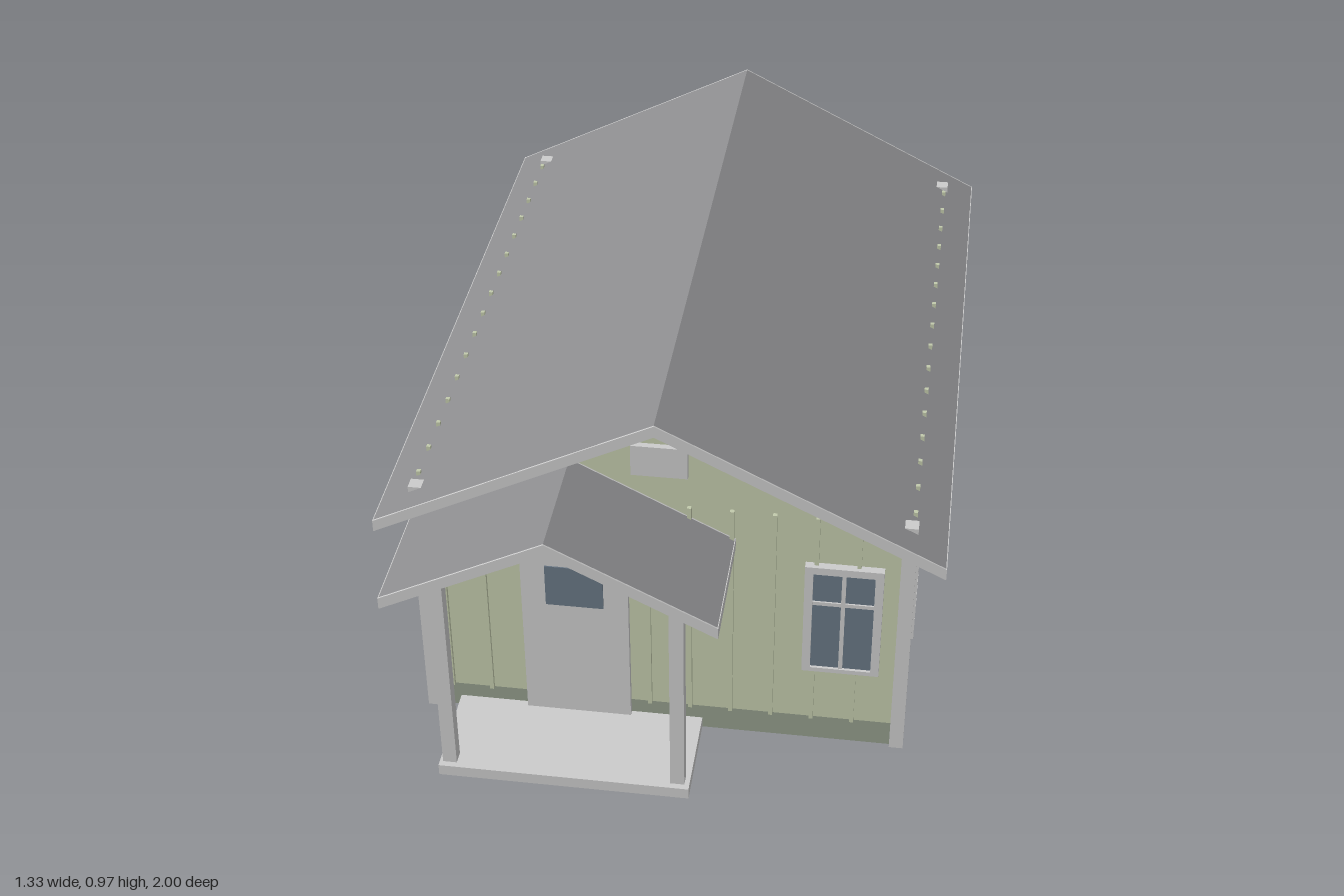
import * as THREE from 'three';

const mat = (color) => new THREE.MeshStandardMaterial({ color, flatShading: true });
const TRIM = mat(0xcccccc), WALL = mat(0xc2caac), BASE = mat(0x929c8b), GLASS = mat(0x687684), ROOF = mat(0x8c8c8e);

// Wall planes (outer faces)
const X = 0.58, ZF = 0.68, ZB = -0.91, T = 0.01;

export function createModel() {
  const house = new THREE.Group();
  house.name = 'house';

  const add = (parent, name, geometry, material) => {
    const mesh = new THREE.Mesh(geometry, material);
    mesh.name = name;
    parent.add(mesh);
    return mesh;
  };
  // Box given by its extents
  const box = (parent, name, m, x0, x1, y0, y1, z0, z1) => {
    const g = new THREE.BoxGeometry(x1 - x0, y1 - y0, z1 - z0);
    g.translate((x0 + x1) / 2, (y0 + y1) / 2, (z0 + z1) / 2);
    return add(parent, name, g, m);
  };
  // Outline in x, y extruded from z0 to z1
  const slab = (parent, name, m, points, z0, z1, hole) => {
    const shape = new THREE.Shape(points.map(([x, y]) => new THREE.Vector2(x, y)));
    if (hole) shape.holes.push(new THREE.Path(hole.map(([x, y]) => new THREE.Vector2(x, y))));
    const g = new THREE.ExtrudeGeometry(shape, { depth: z1 - z0, bevelEnabled: false });
    g.translate(0, 0, z0);
    return add(parent, name, g, m);
  };
  const rect = (w, y0, y1) => [[-w, y0], [w, y0], [w, y1], [-w, y1]];

  // Gable walls, side walls and the darker base band; open below
  const gable = [[-X, 0.07], [X, 0.07], [X, 0.655], [0, 0.945], [-X, 0.655]];
  slab(house, 'frontWall', WALL, gable, ZF - T, ZF);
  slab(house, 'backWall', WALL, gable, ZB, ZB + T);
  box(house, 'frontBase', BASE, -X, X, 0, 0.07, ZF - T, ZF);
  box(house, 'backBase', BASE, -X, X, 0, 0.07, ZB, ZB + T);
  for (const s of [-1, 1]) {
    const x0 = s > 0 ? X - T : -X, x1 = x0 + T;
    box(house, 'sideWall', WALL, x0, x1, 0.07, 0.655, ZB + T, ZF - T);
    box(house, 'sideBase', BASE, x0, x1, 0, 0.07, ZB + T, ZF - T);
    // Corner posts
    for (const z of [ZF, ZB])
      box(house, 'cornerPost', TRIM, s * 0.578 - 0.017, s * 0.578 + 0.017, 0.005, 0.69, z - 0.016, z + 0.016);
  }

  // Battens on all four walls
  const b = 0.005;
  for (let i = 0; i <= 10; i++) {
    const x = -0.53 + 0.0995 * i;
    box(house, 'frontBatten', WALL, x - b, x + b, 0.07, 0.69, ZF, ZF + 0.01);
    box(house, 'backBatten', WALL, x - b, x + b, 0.07, 0.69, ZB - 0.01, ZB);
  }
  for (let i = 0; i <= 15; i++) {
    const z = 0.63 - 0.1 * i;
    for (const s of [-1, 1])
      box(house, 'sideBatten', WALL, s * (X + 0.005) - b, s * (X + 0.005) + b, 0.07, 0.69, z - b, z + b);
  }

  // Gabled roof: dark covering with light fascia boards around its edges
  const roof = (name, cx, w, yTop, yEave, z0, z1) => {
    const group = new THREE.Group();
    group.name = name;
    group.position.x = cx;
    const t = 0.03, e = 0.004;
    const chevron = [[-w, yEave - t], [0, yTop - t], [w, yEave - t], [w, yEave], [0, yTop], [-w, yEave]];
    slab(group, 'roofCovering', ROOF, chevron, z0 + e, z1 - e);
    slab(group, 'frontFascia', TRIM, chevron, z1 - e, z1);
    slab(group, 'backFascia', TRIM, chevron, z0, z0 + e);
    for (const s of [-1, 1])
      box(group, 'eaveFascia', TRIM, s * w - 0.002, s * w + 0.002, yEave - t, yEave, z0, z1);
    house.add(group);
  };
  roof('mainRoof', 0, 0.663, 0.973, 0.64, -1, 0.77);
  roof('porchRoof', -0.21, 0.383, 0.8, 0.606, ZF, 1);

  // Framed window with cross bars, facing +z from its wall plane
  const addWindow = (name, w, y0, x, z, angle, yBar) => {
    const group = new THREE.Group();
    group.name = name;
    const y1 = 0.555, f = 0.02, h = w / 2, g = h - f;
    slab(group, 'windowFrame', TRIM, rect(h, y0, y1), 0, 0.02, rect(g, y0 + 0.012, y1 - f).reverse());
    box(group, 'glass', GLASS, -g, g, y0 + 0.012, y1 - f, -T - 0.002, 0.013);
    box(group, 'verticalBar', TRIM, -0.005, 0.005, y0 + 0.012, y1 - f, 0.01, 0.017);
    box(group, 'crossBar', TRIM, -g, g, yBar - 0.005, yBar + 0.005, 0.01, 0.017);
    group.position.set(x, 0, z);
    group.rotation.y = angle;
    house.add(group);
  };
  const q = Math.PI / 2;
  addWindow('frontWindow', 0.185, 0.235, 0.432, ZF, 0, 0.445);
  addWindow('backWindow', 0.185, 0.335, -0.25, ZB, Math.PI, 0.475);
  addWindow('leftFrontWindow', 0.255, 0.238, X, 0.428, q, 0.46);
  addWindow('leftRearWindow', 0.225, 0.272, X, -0.133, q, 0.465);
  addWindow('rightFrontWindow', 0.255, 0.238, -X, 0.428, -q, 0.46);
  addWindow('rightRearWindow', 0.225, 0.238, -X, -0.133, -q, 0.46);

  // Door with its pane, and the gable vent
  box(house, 'door', TRIM, -0.34, -0.08, 0.03, 0.55, ZF - T - 0.002, ZF + 0.015);
  box(house, 'doorPane', GLASS, -0.28, -0.14, 0.37, 0.487, ZF, ZF + 0.018);
  box(house, 'gableVent', TRIM, -0.067, 0.065, 0.778, 0.86, ZF, ZF + 0.015);

  // Porch: floor, posts and infill under its gable
  box(house, 'porchFloor', TRIM, -0.513, 0.097, 0, 0.03, ZF, 0.93);
  for (const x of [-0.488, 0.068])
    box(house, 'porchPost', TRIM, x - 0.017, x + 0.017, 0.03, 0.635, 0.882, 0.915);
  slab(house, 'porchGable', WALL, [[-0.45, 0.65], [0.03, 0.65], [-0.21, 0.775]], ZF, ZF + 0.013);

  return house;
}
